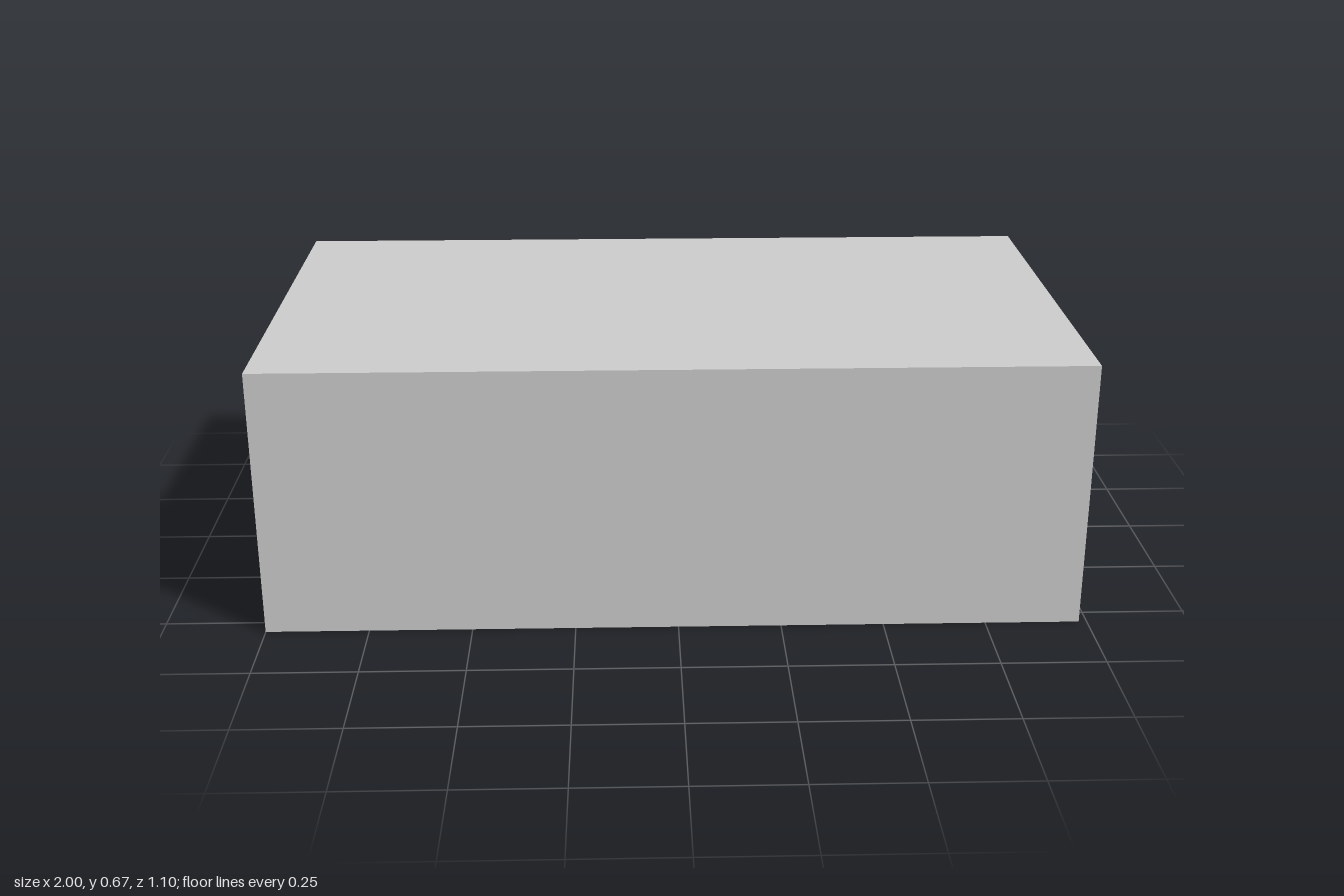
import * as THREE from 'three';

const grey = new THREE.MeshStandardMaterial({ color: 0xcccccc, side: THREE.DoubleSide });

function add(parent, name, geometry, x = 0, y = 0, z = 0) {
  const mesh = new THREE.Mesh(geometry, grey);
  mesh.name = name;
  mesh.position.set(x, y, z);
  parent.add(mesh);
  return mesh;
}

function box(parent, name, x0, x1, y0, y1, z0, z1) {
  return add(parent, name, new THREE.BoxGeometry(x1 - x0, y1 - y0, z1 - z0),
    (x0 + x1) / 2, (y0 + y1) / 2, (z0 + z1) / 2);
}

// Straight rod between two points
function rod(parent, name, a, b, r0, r1 = r0) {
  const p = new THREE.Vector3(...a), d = new THREE.Vector3(...b).sub(p);
  const mesh = add(parent, name, new THREE.CylinderGeometry(r1, r0, d.length(), 10));
  mesh.position.copy(p).addScaledVector(d, 0.5);
  mesh.quaternion.setFromUnitVectors(new THREE.Vector3(0, 1, 0), d.normalize());
  return mesh;
}

function rectangle(Type, u0, u1, v0, v1) {
  const r = new Type();
  r.moveTo(u0, v0);
  r.lineTo(u1, v0);
  r.lineTo(u1, v1);
  r.lineTo(u0, v1);
  r.closePath();
  return r;
}

const X0 = -1, X1 = 0.98, H = 0.665, Z = 0.55;
const SILL = 0.197, HEAD = 0.484;
const windows = [[-0.44, -0.163], [-0.13, 0.15], [0.177, 0.455]];

// Thin room shell, with three openings in the end wall
function createRoom() {
  const room = new THREE.Group();
  room.name = 'room';
  const w = X1 - X0, cx = (X0 + X1) / 2;
  for (const [name, y, turn] of [['floor', 0, -1], ['ceiling', H, -1]]) {
    add(room, name, new THREE.PlaneGeometry(w, 2 * Z), cx, y, 0).rotation.x = turn * Math.PI / 2;
  }
  add(room, 'frontWall', new THREE.PlaneGeometry(w, H), cx, H / 2, Z);
  add(room, 'backWall', new THREE.PlaneGeometry(w, H), cx, H / 2, -Z).rotation.y = Math.PI;
  add(room, 'farWall', new THREE.PlaneGeometry(2 * Z, H), X0, H / 2, 0).rotation.y = -Math.PI / 2;

  // Shape u axis runs along -z once turned to face +x
  const wall = rectangle(THREE.Shape, -Z, Z, 0, H);
  for (const [z0, z1] of windows) wall.holes.push(rectangle(THREE.Path, -z1, -z0, SILL, HEAD));
  add(room, 'windowWall', new THREE.ShapeGeometry(wall), X1, 0, 0).rotation.y = Math.PI / 2;

  for (const [z0, z1] of windows) {
    const t = 0.005;
    const frame = rectangle(THREE.Shape, -z1, -z0, SILL, HEAD);
    frame.holes.push(rectangle(THREE.Path, -z1 + t, -z0 - t, SILL + t, HEAD - t));
    const geometry = new THREE.ExtrudeGeometry(frame, { depth: 0.03, bevelEnabled: false });
    add(room, 'windowFrame', geometry, 0.97, 0, 0).rotation.y = Math.PI / 2;
  }
  return room;
}

// Desk against the back wall, with a drawer box below the top
function createDesk() {
  const desk = new THREE.Group();
  desk.name = 'desk';
  const x0 = 0.45, x1 = 0.9, z0 = -0.46, z1 = -0.23;
  box(desk, 'deskTop', x0, x1, 0.182, 0.195, z0, z1);
  box(desk, 'drawerBox', x0 + 0.01, x1 - 0.005, 0.147, 0.182, z0 + 0.01, z1 - 0.02);
  for (const x of [x0 + 0.02, x1 - 0.02]) {
    for (const z of [z0 + 0.02, z1 - 0.015]) box(desk, 'deskLeg', x - 0.009, x + 0.009, 0, 0.183, z - 0.009, z + 0.009);
  }
  // Small cup on the top
  const cup = [[0, 0], [0.009, 0], [0.01, 0.025], [0.008, 0.025], [0.008, 0.003], [0, 0.003]];
  add(desk, 'cup', new THREE.LatheGeometry(cup.map(p => new THREE.Vector2(...p)), 16), 0.68, 0.195, -0.4);
  return desk;
}

// Jointed desk lamp leaning towards the back wall
function createLamp() {
  const lamp = new THREE.Group();
  lamp.name = 'lamp';
  lamp.position.set(0.83, 0, 0);
  add(lamp, 'lampBase', new THREE.CylinderGeometry(0.018, 0.02, 0.004, 24), 0, 0.197, -0.372);
  rod(lamp, 'lowerArm', [0, 0.197, -0.364], [0, 0.222, -0.35], 0.0018);
  rod(lamp, 'upperArm', [0, 0.222, -0.35], [0, 0.282, -0.387], 0.0018);
  add(lamp, 'lampJoint', new THREE.SphereGeometry(0.008, 16, 10), 0, 0.282, -0.389);
  const profile = [[0.005, 0], [0.008, 0.006], [0.015, 0.011], [0.019, 0.02], [0.02, 0.033]];
  const shade = add(lamp, 'lampShade', new THREE.LatheGeometry(
    new THREE.SplineCurve(profile.map(p => new THREE.Vector2(...p))).getPoints(14), 24), 0, 0.282, -0.391);
  shade.rotation.x = -Math.PI / 2 - 0.2;
  add(lamp, 'bulb', new THREE.SphereGeometry(0.009, 14, 10), 0, 0.28, -0.41);
  return lamp;
}

// Shell chair on four splayed legs, tucked in at the desk
function createChair() {
  const chair = new THREE.Group();
  chair.name = 'chair';
  chair.position.set(0.61, 0, -0.235);
  chair.rotation.y = 0.3;

  // Seat and back in one sheet swept along a side profile
  const side = new THREE.CatmullRomCurve3([[0.112, -0.058], [0.119, -0.045], [0.114, 0],
    [0.12, 0.03], [0.15, 0.044], [0.203, 0.054]].map(([y, z]) => new THREE.Vector3(0, y, z)));
  const shell = new THREE.PlaneGeometry(1, 1, 12, 20), pos = shell.attributes.position;
  for (let i = 0; i < pos.count; i++) {
    const u = pos.getX(i) * 2, v = pos.getY(i) + 0.5, p = side.getPoint(v);
    const halfWidth = 0.057 * (1 - 0.45 * Math.pow(Math.abs(2 * v - 1), 5));
    const back = THREE.MathUtils.smoothstep(v, 0.35, 0.8);
    pos.setXYZ(i, u * halfWidth, p.y + 0.012 * u * u * (1 - back), p.z - 0.014 * u * u * back);
  }
  shell.computeVertexNormals();
  add(chair, 'seatShell', shell);

  for (const sx of [-1, 1]) {
    for (const sz of [-1, 1]) rod(chair, 'chairLeg', [sx * 0.055, 0, sz * 0.055], [sx * 0.03, 0.114, sz * 0.025], 0.003, 0.0045);
    rod(chair, 'legBrace', [sx * 0.036, 0.087, -0.032], [sx * 0.036, 0.087, 0.032], 0.002);
  }
  return chair;
}

export function createModel() {
  const model = new THREE.Group();
  model.name = 'roomWithStudyCorner';
  model.add(createRoom(), createDesk(), createLamp(), createChair());
  return model;
}
